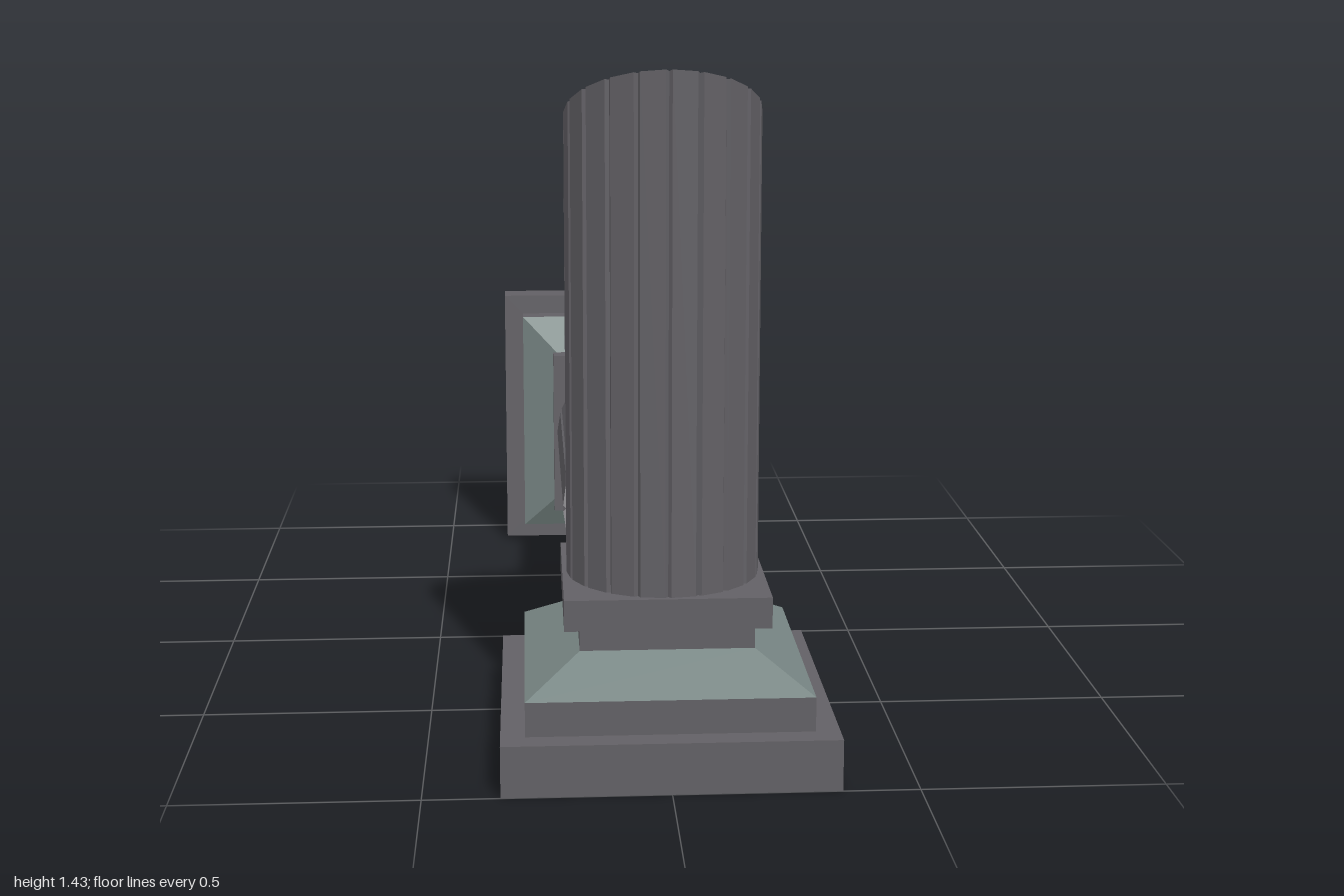
import * as THREE from 'three';

const stone = new THREE.MeshStandardMaterial({ color: 0x626065, flatShading: true });
const slopeStone = new THREE.MeshStandardMaterial({ color: 0x778583, flatShading: true });

// Square block or square frustum, given half widths and its bottom and top heights
function squareBlock(name, bottomHalf, topHalf, y0, y1, material = stone) {
  const geo = new THREE.CylinderGeometry(topHalf * Math.SQRT2, bottomHalf * Math.SQRT2, y1 - y0, 4);
  geo.rotateY(Math.PI / 4);
  geo.translate(0, (y0 + y1) / 2, 0);
  const mesh = new THREE.Mesh(geo, material);
  mesh.name = name;
  return mesh;
}

// Faceted shaft with narrow grooves and a sloping break at the top
function brokenShaft(y0, breakHeight) {
  const facets = 20;
  const step = (Math.PI * 2) / facets;
  const points = [];
  for (let i = 0; i < facets; i++) {
    for (const [offset, radius] of [[0, 0.196], [0.1, 0.203], [0.9, 0.203]]) {
      const a = (i + offset) * step;
      points.push(new THREE.Vector2(Math.sin(a) * radius, Math.cos(a) * radius));
    }
  }
  const height = breakHeight - y0;
  const geo = new THREE.ExtrudeGeometry(new THREE.Shape(points), { depth: height, bevelEnabled: false });
  geo.rotateX(-Math.PI / 2);
  const pos = geo.attributes.position;
  for (let i = 0; i < pos.count; i++) {
    if (pos.getY(i) > height / 2) pos.setY(i, pos.getY(i) + 0.494 * pos.getZ(i));
  }
  geo.translate(0, y0, 0);
  geo.computeVertexNormals();
  const mesh = new THREE.Mesh(geo, stone);
  mesh.name = 'brokenShaft';
  return mesh;
}

// Stepped square base with a broken shaft on it
function column(name, breakHeight) {
  const group = new THREE.Group();
  group.name = name;
  group.add(
    squareBlock('plinth', 0.343, 0.343, 0, 0.108),
    squareBlock('step', 0.293, 0.293, 0.108, 0.18),
    squareBlock('slopedMoulding', 0.293, 0.18, 0.18, 0.248, slopeStone),
    squareBlock('neck', 0.18, 0.18, 0.248, 0.3),
    squareBlock('collar', 0.212, 0.212, 0.3, 0.365),
    brokenShaft(0.365, breakHeight)
  );
  return group;
}

export function createModel() {
  const model = new THREE.Group();
  model.name = 'brokenColumns';

  const standing = column('standingColumn', 1.33);
  standing.position.z = 0.657;

  // Fallen half lies along z, tipped slightly towards its base
  const fallen = column('fallenColumn', 1.26);
  fallen.rotation.x = THREE.MathUtils.degToRad(87.7);
  fallen.position.set(0, 0.345, -0.985);

  model.add(standing, fallen);
  return model;
}
